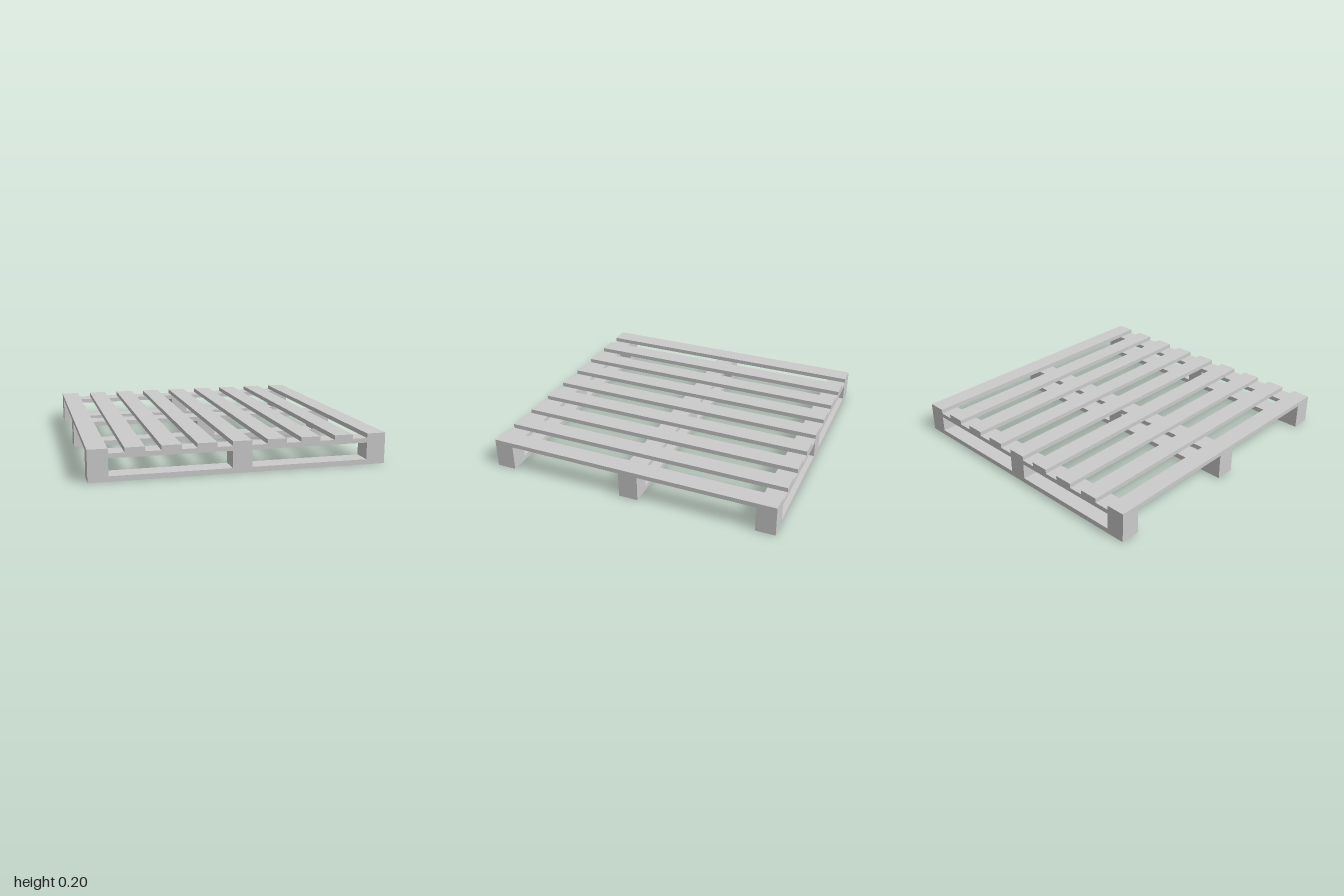
import * as THREE from 'three';

const HALF_X = 0.963, SLAT_W = 0.126, RUNNER_W = 0.133;
const RUNNER_H = 0.175, TOP = 0.205;

const rect = (path, x0, y0, x1, y1) =>
  path.moveTo(x0, y0).lineTo(x1, y0).lineTo(x1, y1).lineTo(x0, y1).closePath();

export function createModel() {
  const pallet = new THREE.Group();
  pallet.name = 'pallet';
  const wood = new THREE.MeshStandardMaterial({ color: 0xcccccc, flatShading: true });

  // Runner: bottom board, three blocks and top board, with two fork openings
  const side = new THREE.Shape();
  rect(side, -HALF_X, 0, HALF_X, RUNNER_H);
  const inner = SLAT_W / 2, outer = HALF_X - SLAT_W;
  for (const [x0, x1] of [[-outer, -inner], [inner, outer]]) {
    const opening = new THREE.Path();
    rect(opening, x0, 0.034, x1, 0.145);
    side.holes.push(opening);
  }
  const runnerGeo = new THREE.ExtrudeGeometry(side, { depth: RUNNER_W, bevelEnabled: false });
  runnerGeo.translate(0, 0, -RUNNER_W / 2);
  const runnerZ = 1 - RUNNER_W / 2;
  for (const [name, z] of [['frontRunner', runnerZ], ['middleRunner', 0], ['backRunner', -runnerZ]]) {
    const runner = new THREE.Mesh(runnerGeo, wood);
    runner.name = name;
    runner.position.z = z;
    pallet.add(runner);
  }

  // Nine deck slats running front to back
  const slatGeo = new THREE.BoxGeometry(SLAT_W, TOP - RUNNER_H, 2);
  const step = (HALF_X - SLAT_W / 2) / 4;
  for (let i = -4; i <= 4; i++) {
    const slat = new THREE.Mesh(slatGeo, wood);
    slat.name = `deckSlat${i + 5}`;
    slat.position.set(i * step, (TOP + RUNNER_H) / 2, 0);
    pallet.add(slat);
  }
  return pallet;
}
